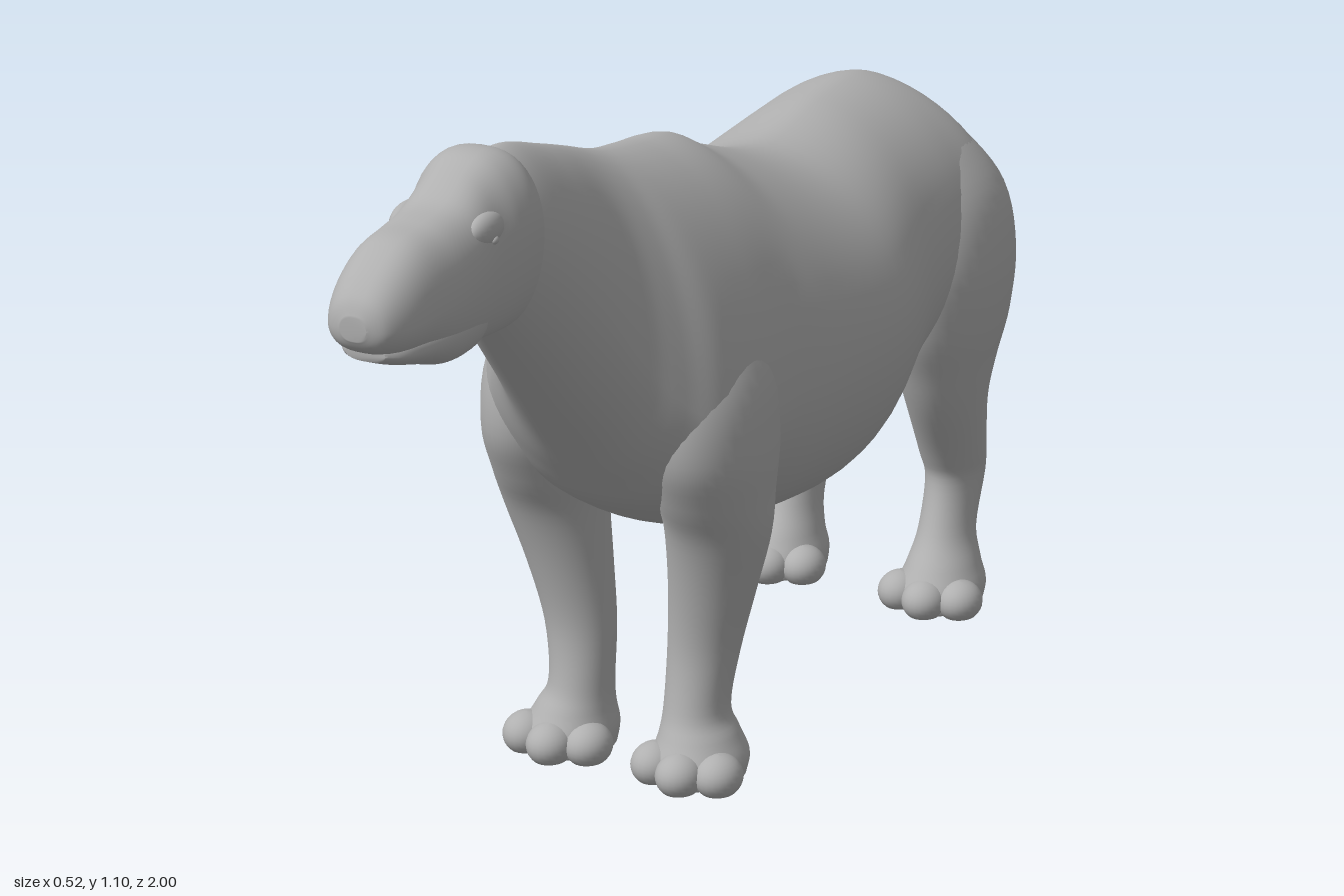
import * as THREE from 'three';

const hide = new THREE.MeshStandardMaterial({ color: 0xb0b0b0 });
hide.name = 'grey hide';

// Catmull-Rom interpolation of whole section rows
function smoothRows(rows, steps) {
  const out = [];
  const at = i => rows[Math.min(rows.length - 1, Math.max(0, i))];
  for (let i = 0; i < rows.length - 1; i++) {
    for (let s = 0; s < steps; s++) {
      const t = s / steps;
      out.push(rows[i].map((_, k) => {
        const [a, b, c, d] = [at(i - 1)[k], at(i)[k], at(i + 1)[k], at(i + 2)[k]];
        return b + 0.5 * t * (c - a + t * (2 * a - 5 * b + 4 * c - d + t * (3 * (b - c) + d - a)));
      }));
    }
  }
  out.push(rows[rows.length - 1]);
  return out;
}

// Closed skin through rings; point(row, angle) gives [x, y, z]
function loft(name, rows, point, sides = 40, steps = 5) {
  const rings = smoothRows(rows, steps);
  const pos = [], idx = [];
  rings.forEach(r => {
    for (let j = 0; j < sides; j++) pos.push(...point(r, j / sides * Math.PI * 2));
  });
  for (let i = 0; i < rings.length - 1; i++) {
    for (let j = 0; j < sides; j++) {
      const k = (j + 1) % sides;
      const a = i * sides + j, b = i * sides + k, c = a + sides, d = b + sides;
      idx.push(a, b, c, b, d, c);
    }
  }
  // end caps
  const last = (rings.length - 1) * sides;
  for (let j = 1; j < sides - 1; j++) {
    idx.push(0, j + 1, j, last, last + j, last + j + 1);
  }
  const g = new THREE.BufferGeometry();
  g.setAttribute('position', new THREE.Float32BufferAttribute(pos, 3));
  g.setIndex(idx);
  g.computeVertexNormals();
  const m = new THREE.Mesh(g, hide);
  m.name = name;
  return m;
}

// Section across the body: [z, bottom, widest height, top, half width];
// up and down set how pinched (over 1) or boxy (under 1) each half is
const across = (up, down, shift = 0) => ([z, lo, mid, hi, w], t) => {
  const c = Math.cos(t), s = Math.sin(t);
  const p = s > 0 ? up : down;
  return [shift + Math.sign(c) * w * Math.pow(Math.abs(c), p), mid + s * (s > 0 ? hi - mid : mid - lo), z];
};

// Level section: [y, centre x, centre z, half width, half depth]
const level = (side = 1, dx = 0, dz = 0) => ([y, x, z, w, d], t) => {
  const k = Math.max(0, 1 - y / 0.55); // offsets fade out up the leg
  return [side * x + dx * k + w * Math.cos(t), y, z + dz * k - d * Math.sin(t)];
};

// Ellipsoid, flattened where it meets the ground
function blob(name, x, y, z, rx, ry, rz) {
  const g = new THREE.SphereGeometry(1, 24, 16);
  g.scale(rx, ry, rz).translate(x, y, z);
  const p = g.attributes.position;
  for (let i = 0; i < p.count; i++) p.setY(i, Math.max(0, p.getY(i)));
  g.computeVertexNormals();
  const m = new THREE.Mesh(g, hide);
  m.name = name;
  return m;
}

const TORSO = [
  [-0.772, 0.61, 0.66, 0.70, 0.05], [-0.76, 0.56, 0.66, 0.745, 0.12],
  [-0.72, 0.52, 0.65, 0.805, 0.185], [-0.65, 0.49, 0.64, 0.865, 0.222],
  [-0.55, 0.45, 0.64, 0.895, 0.218], [-0.4, 0.385, 0.62, 0.893, 0.222],
  [-0.2, 0.315, 0.6, 0.87, 0.26], [0, 0.33, 0.6, 0.925, 0.245],
  [0.1, 0.355, 0.6, 0.97, 0.225], [0.2, 0.39, 0.6, 0.985, 0.218],
  [0.3, 0.45, 0.61, 1.0, 0.2], [0.36, 0.51, 0.65, 1.015, 0.16],
  [0.42, 0.575, 0.73, 1.035, 0.122], [0.5, 0.66, 0.83, 1.06, 0.104],
  [0.6, 0.77, 0.92, 1.088, 0.088], [0.68, 0.86, 0.97, 1.085, 0.065],
];
const HEAD = [
  [0.57, 0.88, 0.96, 1.04, 0.05], [0.615, 0.84, 0.97, 1.08, 0.08],
  [0.65, 0.836, 0.98, 1.098, 0.092], [0.69, 0.836, 0.975, 1.098, 0.088],
  [0.73, 0.838, 0.965, 1.08, 0.078], [0.78, 0.842, 0.955, 1.052, 0.08],
  [0.84, 0.855, 0.945, 1.042, 0.079], [0.9, 0.878, 0.94, 1.035, 0.073],
  [0.95, 0.89, 0.935, 1.01, 0.063], [0.985, 0.905, 0.936, 0.98, 0.045],
  [0.998, 0.922, 0.938, 0.955, 0.02],
];
const JAW = [
  [0.7, 0.86, 0.89, 0.93, 0.04], [0.75, 0.838, 0.89, 0.93, 0.064],
  [0.82, 0.838, 0.888, 0.93, 0.07], [0.88, 0.856, 0.89, 0.925, 0.066],
  [0.94, 0.874, 0.892, 0.92, 0.052], [0.968, 0.885, 0.895, 0.91, 0.03],
];
const FRONT_LEG = [
  [0.005, 0.112, 0.195, 0.068, 0.08], [0.035, 0.112, 0.195, 0.072, 0.084],
  [0.07, 0.107, 0.19, 0.06, 0.068], [0.11, 0.1, 0.185, 0.05, 0.055],
  [0.2, 0.106, 0.178, 0.056, 0.053], [0.3, 0.121, 0.185, 0.067, 0.063],
  [0.4, 0.136, 0.2, 0.08, 0.08], [0.47, 0.138, 0.215, 0.085, 0.105],
  [0.55, 0.138, 0.225, 0.09, 0.13], [0.65, 0.128, 0.22, 0.092, 0.13],
  [0.75, 0.1, 0.2, 0.08, 0.11], [0.84, 0.06, 0.18, 0.06, 0.08],
];
const HIND_LEG = [
  [0.005, 0.16, -0.605, 0.066, 0.086], [0.035, 0.16, -0.605, 0.07, 0.09],
  [0.07, 0.158, -0.615, 0.058, 0.076], [0.12, 0.153, -0.637, 0.045, 0.062],
  [0.2, 0.15, -0.67, 0.045, 0.07], [0.25, 0.15, -0.655, 0.052, 0.072],
  [0.35, 0.155, -0.61, 0.062, 0.09], [0.42, 0.155, -0.6, 0.075, 0.115],
  [0.5, 0.155, -0.6, 0.09, 0.15], [0.6, 0.155, -0.6, 0.094, 0.163],
  [0.7, 0.138, -0.605, 0.092, 0.142], [0.78, 0.105, -0.595, 0.07, 0.105],
  [0.83, 0.07, -0.58, 0.045, 0.07],
];
const TAIL = [
  [0.306, 0.04, -0.99, 0.005, 0.006], [0.33, 0.038, -0.972, 0.015, 0.022],
  [0.4, 0.033, -0.925, 0.015, 0.021], [0.5, 0.028, -0.87, 0.016, 0.02],
  [0.6, 0.02, -0.825, 0.019, 0.022], [0.68, 0.012, -0.79, 0.023, 0.027],
  [0.77, 0.005, -0.725, 0.032, 0.036], [0.84, 0, -0.63, 0.03, 0.035],
];

// Leg flaring into a broad three-toed foot
function leg(name, rows, side, dx, dz) {
  const g = new THREE.Group();
  g.name = name;
  g.add(loft(name + 'Limb', rows, level(side, dx, dz)));
  const x = side * rows[0][1] + dx, z = rows[0][2] + dz;
  for (const i of [-1, 0, 1]) {
    g.add(blob('toe', x + i * 0.053, 0.026, z + (i ? 0.045 : 0.068), 0.037, 0.034, 0.042));
  }
  return g;
}

export function createModel() {
  const model = new THREE.Group();
  model.name = 'hornlessRhinoceros';
  model.add(
    loft('torsoAndNeck', TORSO, across(1.2, 0.95), 56, 6),
    loft('head', HEAD, across(0.8, 0.75, -0.008), 48, 6),
    loft('lowerJaw', JAW, across(0.8, 0.75, -0.008)),
    loft('tail', TAIL, level(), 20),
    leg('rightFrontLeg', FRONT_LEG, -1, -0.008, 0),
    leg('leftFrontLeg', FRONT_LEG, 1, -0.004, 0.015),
    leg('rightHindLeg', HIND_LEG, -1, 0.025, 0),
    leg('leftHindLeg', HIND_LEG, 1, 0, 0.025),
  );
  // paired face details
  for (const s of [-1, 1]) {
    const x = d => -0.008 + s * d;
    model.add(
      blob('brow', x(0.058), 1.012, 0.745, 0.02, 0.025, 0.045),
      blob('eye', x(0.075), 1.0, 0.747, 0.005, 0.006, 0.007),
      blob('nostrilRim', x(0.036), 0.952, 0.965, 0.016, 0.018, 0.016),
    );
  }
  return model;
}
